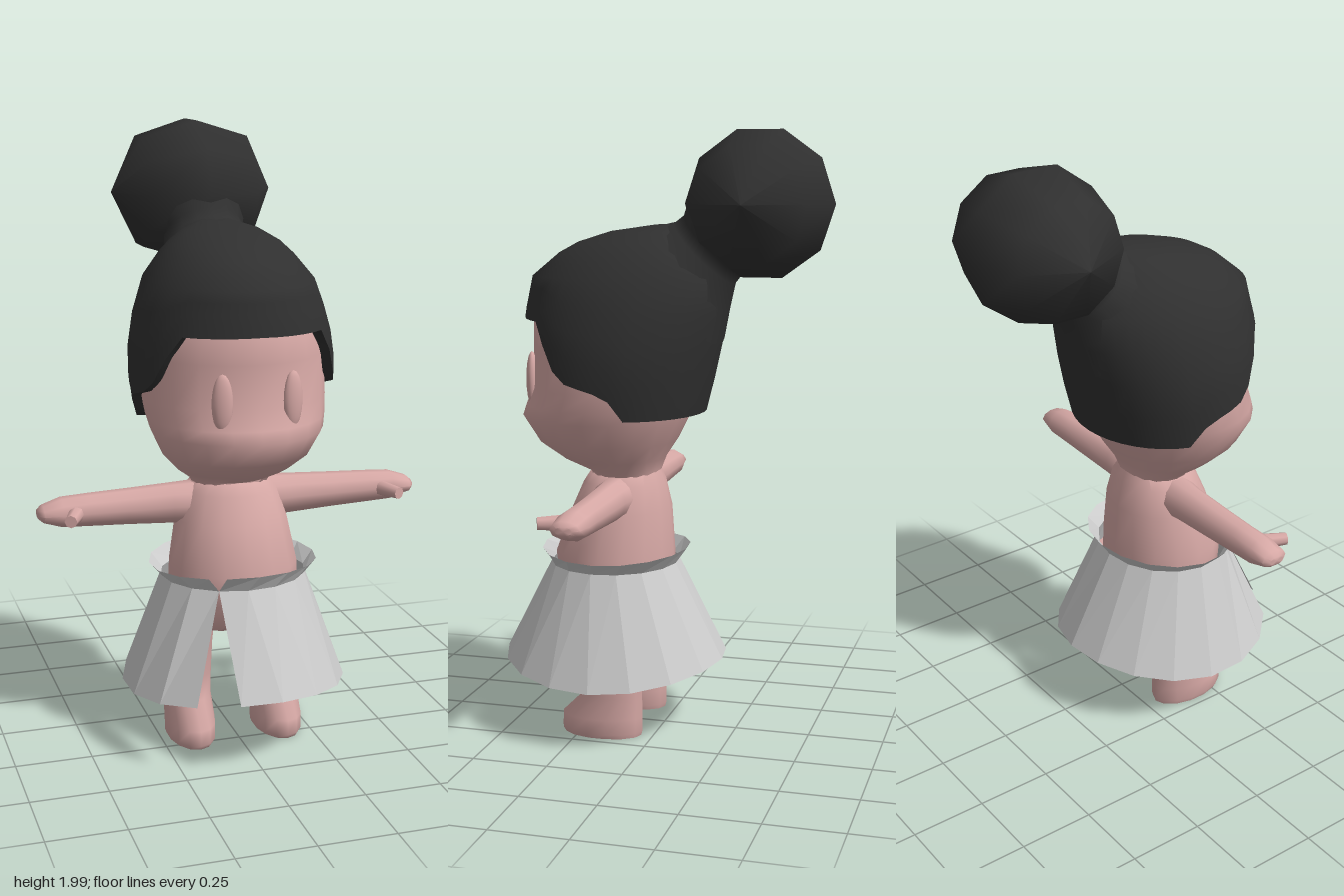
import * as THREE from 'three';
import { toCreasedNormals } from 'three/addons/utils/BufferGeometryUtils.js';

const skin = new THREE.MeshStandardMaterial({ color: 0xd6a8a5 });
const hairMat = new THREE.MeshStandardMaterial({ color: 0x303030, side: THREE.DoubleSide });
const cloth = new THREE.MeshStandardMaterial({ color: 0xcccccc, side: THREE.DoubleSide, flatShading: true });
const rad = THREE.MathUtils.degToRad;

// Surface from rows of points; rows run bottom to top, columns run from +z towards +x
function grid(rows, cols, point, closed) {
  const pos = [], index = [];
  const n = closed ? cols : cols + 1;
  for (let r = 0; r < rows; r++)
    for (let c = 0; c < n; c++) pos.push(...point(r, c / cols));
  for (let r = 0; r < rows - 1; r++)
    for (let c = 0; c < cols; c++) {
      const a = r * n + c, b = r * n + (c + 1) % n;
      index.push(a, b, b + n, a, b + n, a + n);
    }
  const g = new THREE.BufferGeometry();
  g.setAttribute('position', new THREE.Float32BufferAttribute(pos, 3));
  g.setIndex(index);
  return g;
}

// Point on an oval section [y, halfWidth, zFront, zBack]
function oval([y, w, f, b], t) {
  return [w * Math.sin(t), y, (f + b) / 2 + (f - b) / 2 * Math.cos(t)];
}

// Capped solid through oval sections
function loft(sections, cols = 16) {
  const cap = ([y, , f, b]) => [y, 0, (f + b) / 2, (f + b) / 2];
  const all = [cap(sections[0]), ...sections, cap(sections[sections.length - 1])];
  const g = grid(all.length, cols, (r, u) => oval(all[r], u * Math.PI * 2), true);
  return toCreasedNormals(g, 1.05);
}

// Linear lookup in rows sorted by their first value
function lookup(table, k) {
  let i = 0;
  while (i < table.length - 2 && k > table[i + 1][0]) i++;
  const a = table[i], b = table[i + 1];
  const t = THREE.MathUtils.clamp((k - a[0]) / (b[0] - a[0]), 0, 1);
  return a.map((v, j) => v + (b[j] - v) * t);
}

export function createModel() {
  const model = new THREE.Group();
  const add = (name, geometry, material) => {
    const mesh = new THREE.Mesh(geometry, material);
    mesh.name = name;
    model.add(mesh);
    return mesh;
  };

  add('head', loft([
    [0.85, 0.12, 0.25, 0.02], [0.88, 0.135, 0.25, 0.015], [0.92, 0.185, 0.34, 0],
    [0.98, 0.24, 0.43, -0.04], [1.06, 0.278, 0.482, -0.08], [1.1, 0.288, 0.467, -0.095],
    [1.16, 0.297, 0.442, -0.11], [1.3, 0.295, 0.438, -0.14], [1.4, 0.27, 0.44, -0.15],
    [1.5, 0.21, 0.36, -0.13], [1.58, 0.1, 0.2, -0.03],
  ], 20), skin);

  add('torso', loft([
    [0.4, 0.2, 0.3, 0], [0.5, 0.215, 0.36, -0.03], [0.6, 0.212, 0.372, -0.03],
    [0.75, 0.185, 0.315, -0.02], [0.84, 0.155, 0.275, 0], [0.88, 0.12, 0.25, 0.015],
  ]), skin);

  for (const s of [1, -1]) {
    const side = s > 0 ? 'left' : 'right';

    const eye = add(side + 'Eye', new THREE.SphereGeometry(1, 16, 10), skin);
    eye.scale.set(0.033, 0.092, 0.02);
    eye.position.set(s * 0.113, 1.185, 0.424);
    eye.rotation.y = s * 0.25;

    // Arm with a tapering hand, laid along x
    const arm = add(side + 'Arm', loft([
      [0.08, 0.072, 0.215, 0.06], [0.2, 0.066, 0.195, 0.075], [0.35, 0.058, 0.19, 0.077],
      [0.47, 0.053, 0.187, 0.08], [0.56, 0.048, 0.19, 0.08], [0.62, 0.028, 0.187, 0.09],
      [0.636, 0.014, 0.165, 0.11],
    ], 10), skin);
    arm.rotation.z = -s * Math.PI / 2;
    arm.position.y = 0.8;

    const thumb = add(side + 'Thumb', new THREE.CylinderGeometry(0.02, 0.027, 0.1, 8), skin);
    thumb.rotation.set(Math.PI / 2, 0, -s * 0.4);
    thumb.position.set(s * 0.532, 0.8, 0.205);

    // Leg and foot in one piece
    const leg = add(side + 'Leg', loft([
      [0, 0.074, 0.305, 0.04], [0.015, 0.08, 0.315, 0.036], [0.065, 0.08, 0.313, 0.035],
      [0.14, 0.079, 0.237, 0.037], [0.22, 0.081, 0.235, 0.035], [0.32, 0.085, 0.245, 0.03],
      [0.48, 0.095, 0.29, 0.015],
    ], 14), skin);
    leg.position.x = s * 0.15;
  }

  // Hair cap: oval sections cut off along a hairline [degrees from front, y]
  const capShape = [
    [1.08, 0.305, 0.42, -0.135], [1.2, 0.33, 0.46, -0.165], [1.3, 0.33, 0.468, -0.187],
    [1.4, 0.312, 0.468, -0.21], [1.525, 0.268, 0.445, -0.218], [1.6, 0.21, 0.355, -0.17],
    [1.635, 0.175, 0.29, -0.13], [1.67, 0.12, 0.18, -0.1], [1.692, 0.05, 0.03, -0.06],
    [1.693, 0, -0.015, -0.015],
  ];
  const hairline = [
    [0, 1.39], [49, 1.385], [58, 1.26], [70, 1.2], [97, 1.16], [108, 1.08], [180, 1.08],
  ];
  const lower = 5, upper = capShape.slice(4);
  const cap = grid(lower + upper.length, 40, (r, u) => {
    const t = u * Math.PI * 2;
    const edge = lookup(hairline, 180 - Math.abs(u * 360 - 180))[1];
    // First row turns the edge inwards to give thickness
    const y = r < lower ? edge + (1.525 - edge) * Math.max(0, r - 1) / (lower - 1)
      : upper[r - lower][0];
    const p = oval(lookup(capShape, y), t);
    if (r === 0) { p[0] *= 0.86; p[2] = 0.14 + (p[2] - 0.14) * 0.86; }
    return p;
  }, true);
  add('hairCap', toCreasedNormals(cap, 1), hairMat);

  // Gathered hair rising back from the crown into the bun
  const gather = add('hairGather', new THREE.LatheGeometry(
    [[0.25, -0.16], [0.19, -0.07], [0.14, 0.01], [0.135, 0.05], [0.17, 0.12]]
      .map(p => new THREE.Vector2(...p)), 16), hairMat);
  gather.position.set(0, 1.595, -0.13);
  gather.rotation.x = -Math.PI / 4;

  // Faceted bun with its poles at the sides
  const bun = add('hairBun', new THREE.LatheGeometry(
    [[0, -0.278], [0.19, -0.18], [0.247, 0], [0.19, 0.18], [0, 0.278]]
      .map(p => new THREE.Vector2(...p)), 10), hairMat);
  bun.rotation.z = Math.PI / 2;
  bun.position.set(0, 1.76, -0.315);

  // Open skirt with a front slit: [y, lift, rx, rz, zCentre, startDeg, endDeg]
  const skirtRows = [
    [0.2, 0.046, 0.368, 0.378, 0.172, -13.5, 325],
    [0.565, 0, 0.24, 0.215, 0.172, -26, 334],
    [0.605, 0.012, 0.278, 0.248, 0.168, -19, 329],
  ];
  add('skirt', grid(3, 16, (r, u) => {
    const [y, lift, rx, rz, cz, from, to] = skirtRows[r];
    const t = rad(from + (to - from) * u);
    return [rx * Math.sin(t), y + lift * Math.cos(t) ** 2, cz + rz * Math.cos(t)];
  }, false), cloth);

  return model;
}
